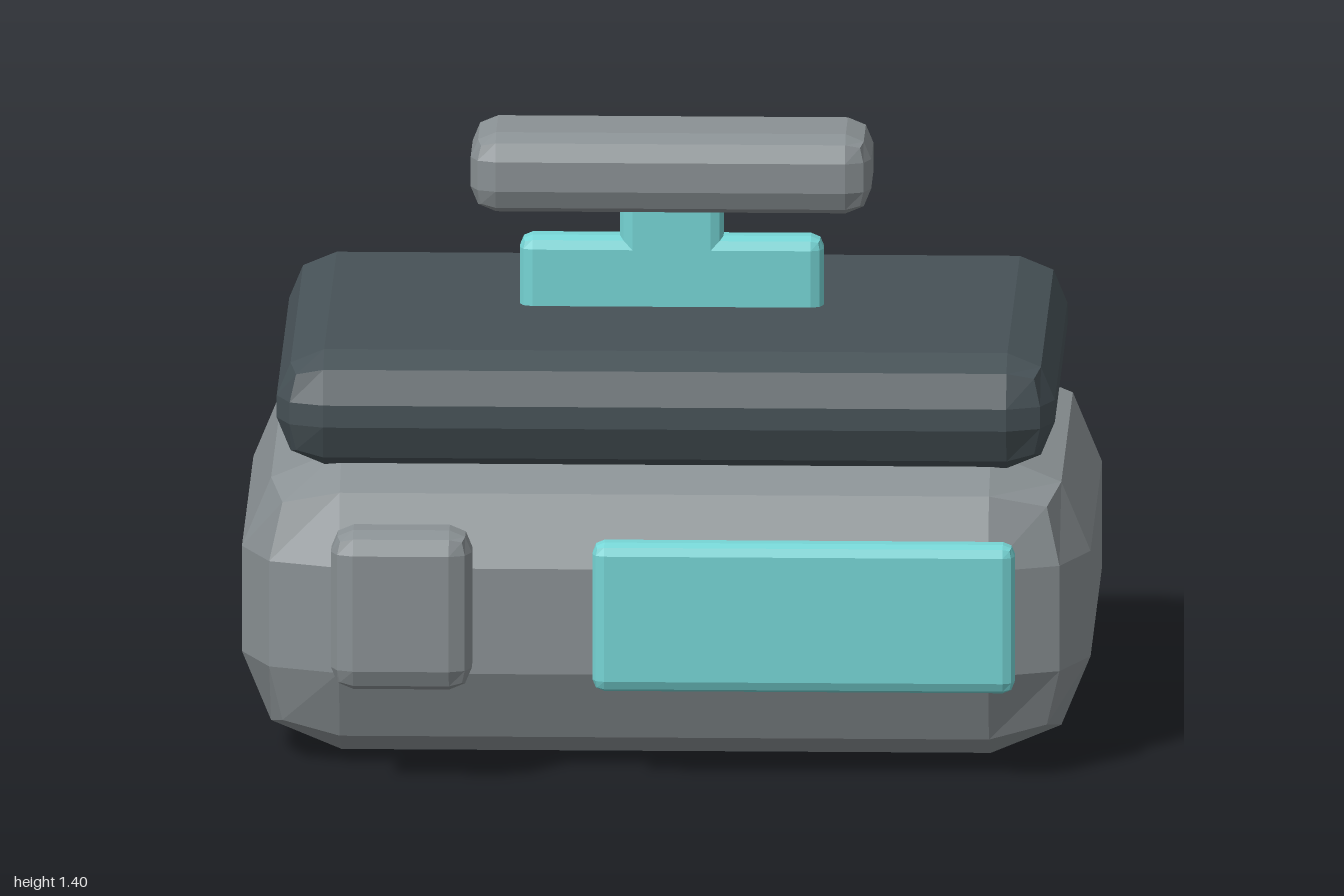
import * as THREE from 'three';
import { RoundedBoxGeometry } from 'three/addons/geometries/RoundedBoxGeometry.js';

const material = (name, color) => {
  const m = new THREE.MeshStandardMaterial({ color, flatShading: true });
  m.name = name;
  return m;
};

export function createModel() {
  const grey = material('mid grey', 0x8a9194);
  const dark = material('dark slate', 0x475257);
  const teal = material('teal', 0x76d6d6);

  const group = new THREE.Group();
  group.name = 'scale';

  // Chamfered block spanning [min, max] on each axis
  const block = (name, mat, x, y, z, radius) => {
    const size = [x, y, z].map(([a, b]) => b - a);
    const centre = [x, y, z].map(([a, b]) => (a + b) / 2);
    const mesh = new THREE.Mesh(new RoundedBoxGeometry(...size, 1, radius), mat);
    mesh.position.set(...centre);
    mesh.name = name;
    group.add(mesh);
  };

  // Main housing and the slab on top of it
  block('body', grey, [-1, 1], [0, 0.724], [-0.816, 0.626], 0.235);
  block('lid', dark, [-0.917, 0.917], [0.697, 0.974], [-0.737, 0.544], 0.112);

  // Stepped support carrying the top bar
  block('supportBase', teal, [-0.358, 0.358], [0.93, 1.14], [-0.145, -0.048], 0.03);
  block('supportPost', teal, [-0.122, 0.122], [1.08, 1.27], [-0.145, -0.048], 0.03);
  block('topBar', grey, [-0.472, 0.472], [1.212, 1.403], [-0.248, 0.056], 0.06);

  // Front controls, standing just off the housing
  block('frontKnob', grey, [-0.78, -0.448], [0.228, 0.612], [0.65, 0.817], 0.053);
  block('frontPanel', teal, [-0.165, 0.83], [0.215, 0.573], [0.65, 0.739], 0.028);

  return group;
}
